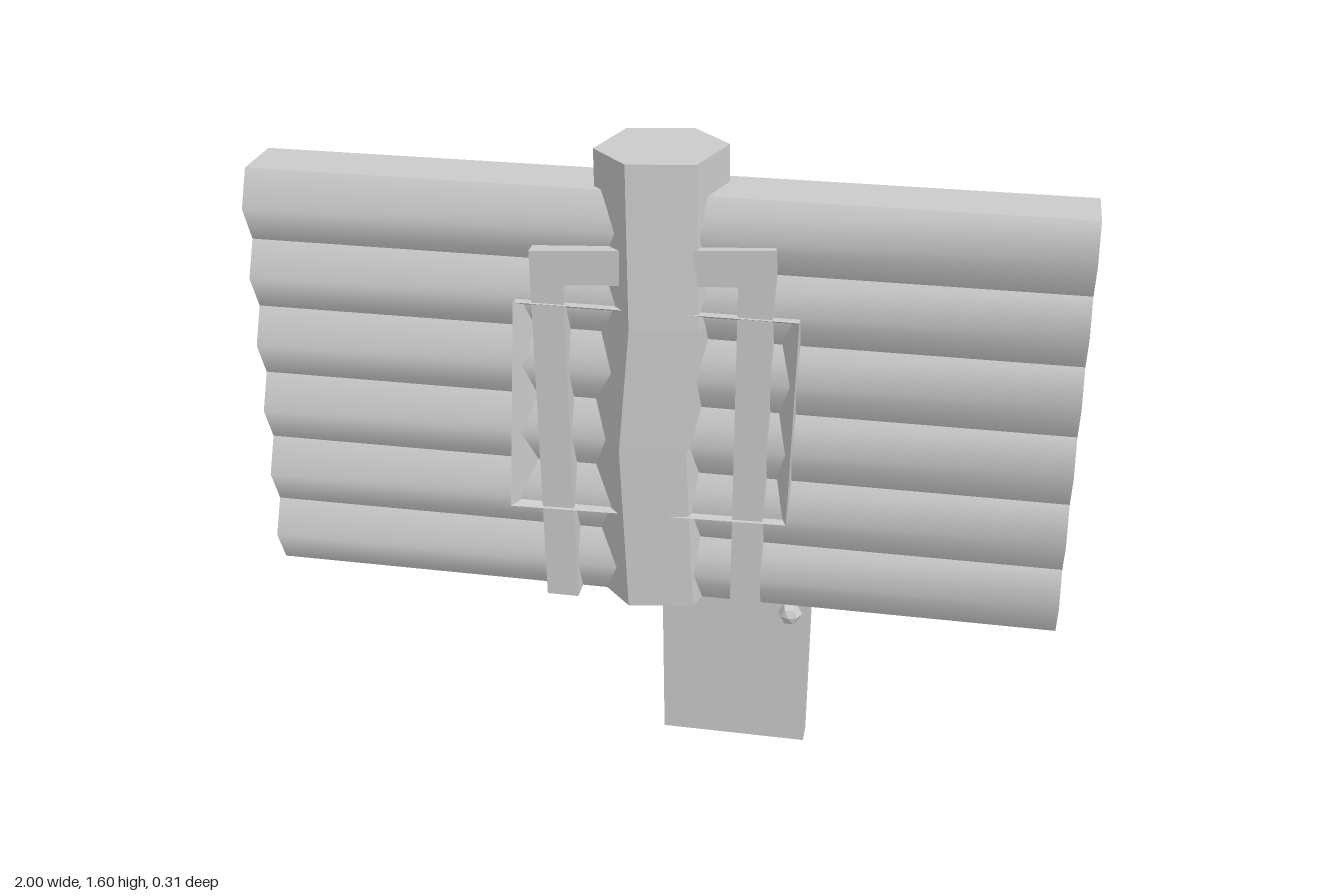
import * as THREE from 'three';

const flat = new THREE.MeshStandardMaterial({ color: 0xcccccc, flatShading: true, side: THREE.DoubleSide });
const smooth = new THREE.MeshStandardMaterial({ color: 0xcccccc, side: THREE.DoubleSide });

// Skin joining equal-length rows of points; closed rows wrap round
function skin(rows, { closed = false, caps = false } = {}) {
  const n = rows[0].length;
  const index = [];
  for (let r = 0; r < rows.length - 1; r++) {
    for (let i = 0; i < (closed ? n : n - 1); i++) {
      const a = r * n + i, b = r * n + (i + 1) % n;
      index.push(a, b, b + n, a, b + n, a + n);
    }
  }
  if (caps) {
    const top = (rows.length - 1) * n;
    for (let i = 1; i < n - 1; i++) {
      index.push(0, i + 1, i, top, top + i, top + i + 1);
    }
  }
  const g = new THREE.BufferGeometry();
  g.setAttribute('position', new THREE.Float32BufferAttribute(rows.flat(2), 3));
  g.setIndex(index);
  g.computeVertexNormals();
  return g;
}

export function createModel() {
  const model = new THREE.Group();
  const add = (name, geometry, material = flat, parent = model) => {
    const mesh = new THREE.Mesh(geometry, material);
    mesh.name = name;
    parent.add(mesh);
    return mesh;
  };

  // Log wall: bulging courses on both faces, open ends and underside
  const wall = new THREE.Group();
  wall.name = 'logWall';
  model.add(wall);
  const joints = [0.44, 0.615, 0.795, 0.975, 1.155, 1.33, 1.51];
  for (const [side, valley, peak] of [['front', 0.065, 0.108], ['back', -0.088, -0.128]]) {
    for (let i = 0; i < joints.length - 1; i++) {
      const mid = (joints[i] + joints[i + 1]) / 2;
      const profile = [[joints[i], valley], [mid, peak], [joints[i + 1], valley]];
      const s = Math.sign(peak);
      add(side + 'Log', skin(profile.map(([y, z]) => [[-s, y, z], [s, y, z]])), smooth, wall);
    }
  }
  add('wallTop', skin([[[-1, 1.51, 0.065], [1, 1.51, 0.065]], [[-1, 1.51, -0.088], [1, 1.51, -0.088]]]), flat, wall);

  // Rough six-sided post, slightly crooked along its height
  const hex = [[-0.155, 0.04], [-0.06, 0.142], [0.1, 0.115], [0.15, -0.05], [0.05, -0.155], [-0.11, -0.125]];
  const bends = [[0.44, 0, 0], [0.88, -0.018, 0.012], [1.2, 0.008, 0.01], [1.6, 0, 0]];
  add('post', skin(
    bends.map(([y, dx, dz]) => hex.map(([x, z]) => [x + dx, y, z + dz])),
    { closed: true, caps: true }));

  // Inverted U frame passing through the wall
  const u = new THREE.Shape([
    [-0.275, 0.44], [-0.295, 1.37], [0.285, 1.41], [0.265, 0.44],
    [0.195, 0.44], [0.2, 1.315], [-0.215, 1.29], [-0.195, 0.44],
  ].map(([x, y]) => new THREE.Vector2(x, y)));
  const uFrame = new THREE.ExtrudeGeometry(u, { depth: 0.265, bevelEnabled: false });
  add('doorFrame', uFrame.translate(0, 0, -0.143));

  // Surrounding trim: straight outside, splayed inside towards the wall
  const outer = [[-0.36, 0.69], [0.33, 0.705], [0.345, 1.24], [-0.335, 1.24]];
  const inner = [[-0.285, 0.72], [0.285, 0.715], [0.285, 1.195], [-0.285, 1.195]];
  const ring = (points, z) => points.map(([x, y]) => [x, y, z]);
  add('trim', skin(
    [ring(inner, -0.06), ring(outer, -0.152), ring(outer, 0.13), ring(inner, 0.04)],
    { closed: true }));

  // Hanging board below the wall, a little narrower at the foot
  const board = new THREE.BoxGeometry(0.39, 0.87, 0.06).translate(0.195, 0.435, -0.005);
  const p = board.attributes.position;
  for (let i = 0; i < p.count; i++) {
    if (p.getY(i) < 0.1) p.setX(i, 0.197 + (p.getX(i) - 0.195) * 0.955);
  }
  add('hangingBoard', board);

  // Beam inside the wall that carries the board
  add('innerBeam', new THREE.BoxGeometry(1.02, 0.12, 0.1)).position.set(-0.16, 0.63, -0.015);

  // Bolt through the board with a faceted knob on each side
  const bolt = new THREE.Group();
  bolt.name = 'bolt';
  bolt.position.set(0.34, 0.41, 0);
  model.add(bolt);
  add('boltShaft', new THREE.CylinderGeometry(0.013, 0.013, 0.13, 6).rotateX(Math.PI / 2), flat, bolt).position.z = -0.005;
  for (const z of [0.055, -0.066]) {
    add('boltKnob', new THREE.SphereGeometry(0.031, 6, 4).rotateX(Math.PI / 2), flat, bolt).position.z = z;
  }

  return model;
}
